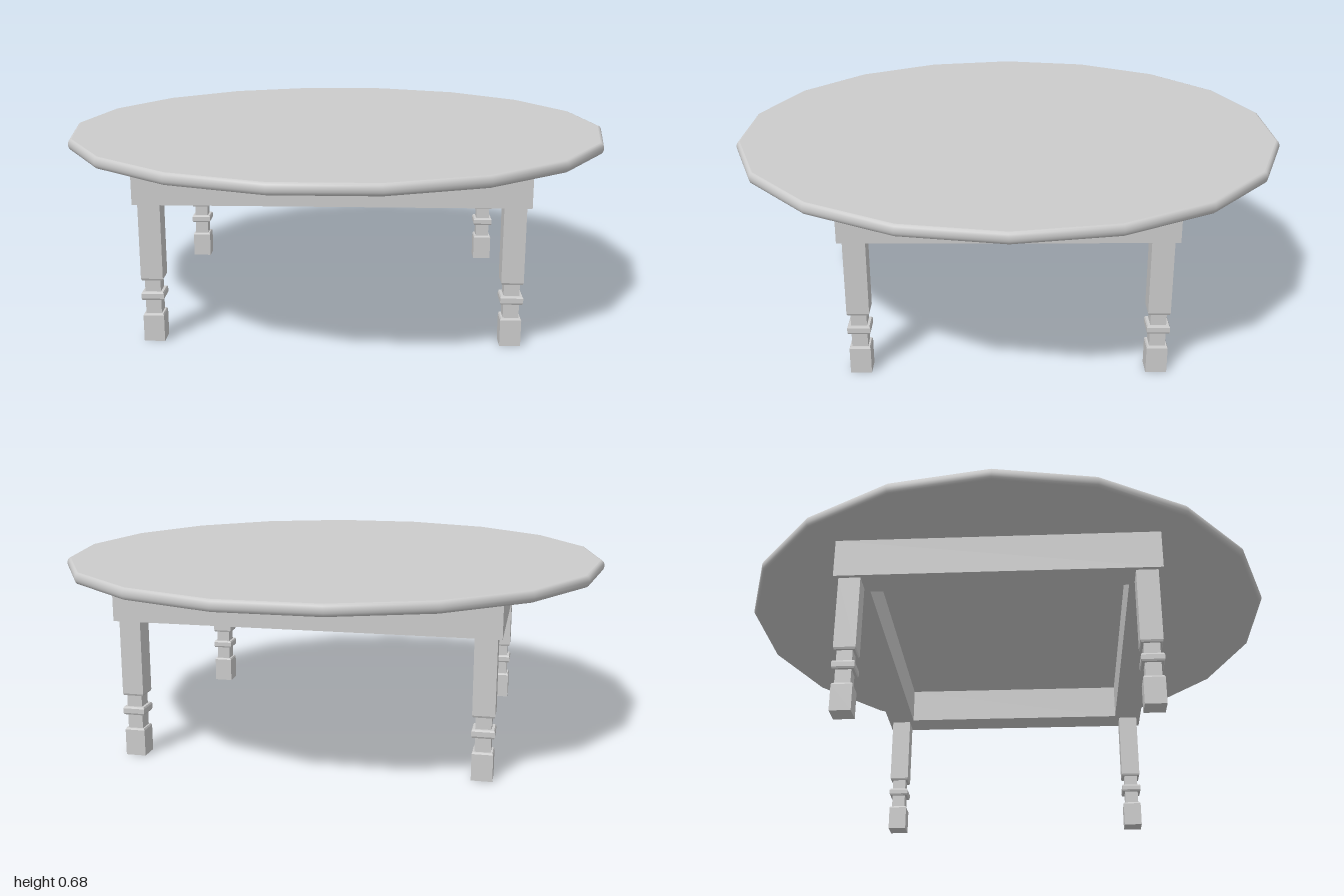
import * as THREE from 'three';

const material = new THREE.MeshStandardMaterial({ color: 0xcccccc });

function addMesh(parent, name, geometry) {
  const mesh = new THREE.Mesh(geometry, material);
  mesh.name = name;
  parent.add(mesh);
  return mesh;
}

const lathe = (points, sides, start) =>
  new THREE.LatheGeometry(points.map(([r, y]) => new THREE.Vector2(r, y)), sides, start);

// Eighteen-sided top with a rounded rim and flat faces
function createTabletop() {
  const top = new THREE.Group();
  top.name = 'tabletop';
  const sides = 18, yMid = 0.656, half = 0.02, bulge = 0.013, flat = 1 - bulge;
  const rim = [];
  for (let i = 0; i <= 8; i++) {
    const a = -Math.PI / 2 + (i / 8) * Math.PI;
    rim.push([flat + bulge * Math.cos(a), yMid + half * Math.sin(a)]);
  }
  addMesh(top, 'tabletopRim', lathe(rim, sides, Math.PI / 2));
  addMesh(top, 'tabletopSurface', lathe([[flat, yMid + half], [0, yMid + half]], sides, Math.PI / 2));
  addMesh(top, 'tabletopUnderside', lathe([[0, yMid - half], [flat, yMid - half]], sides, Math.PI / 2));
  return top;
}

// Rectangular frame under the top
function createApron() {
  const x = 0.67, z = 0.56, t = 0.11, bottom = 0.495, height = 0.141;
  const rectangle = (target, w, d) => {
    target.moveTo(-w, -d);
    target.lineTo(w, -d);
    target.lineTo(w, d);
    target.lineTo(-w, d);
    target.closePath();
    return target;
  };
  const shape = rectangle(new THREE.Shape(), x, z);
  shape.holes.push(rectangle(new THREE.Path(), x - t, z - t));
  const geometry = new THREE.ExtrudeGeometry(shape, { depth: height, bevelEnabled: false });
  geometry.rotateX(-Math.PI / 2);
  geometry.translate(0, bottom, 0);
  return geometry;
}

// Square leg: block foot, narrow neck with a collar, long upper block
function createLegGeometry() {
  const profile = [ // half width, height
    [0, 0], [0.036, 0], [0.036, 0.094], [0.033, 0.1],
    [0.027, 0.1], [0.027, 0.151],
    [0.036, 0.151], [0.039, 0.157], [0.039, 0.174], [0.036, 0.18],
    [0.027, 0.18], [0.027, 0.222],
    [0.035, 0.222], [0.038, 0.229], [0.038, 0.496],
  ].map(([w, y]) => [w * Math.SQRT2, y]);
  const geometry = lathe(profile, 4, Math.PI / 4).toNonIndexed();
  geometry.computeVertexNormals();
  return geometry;
}

export function createModel() {
  const table = new THREE.Group();
  table.name = 'table';
  table.add(createTabletop());
  addMesh(table, 'apron', createApron());

  const legGeometry = createLegGeometry();
  for (const [side, sx] of [['Left', 1], ['Right', -1]]) {
    for (const [end, sz] of [['front', 1], ['back', -1]]) {
      addMesh(table, `${end}${side}Leg`, legGeometry).position.set(sx * 0.617, 0, sz * 0.506);
    }
  }
  return table;
}
